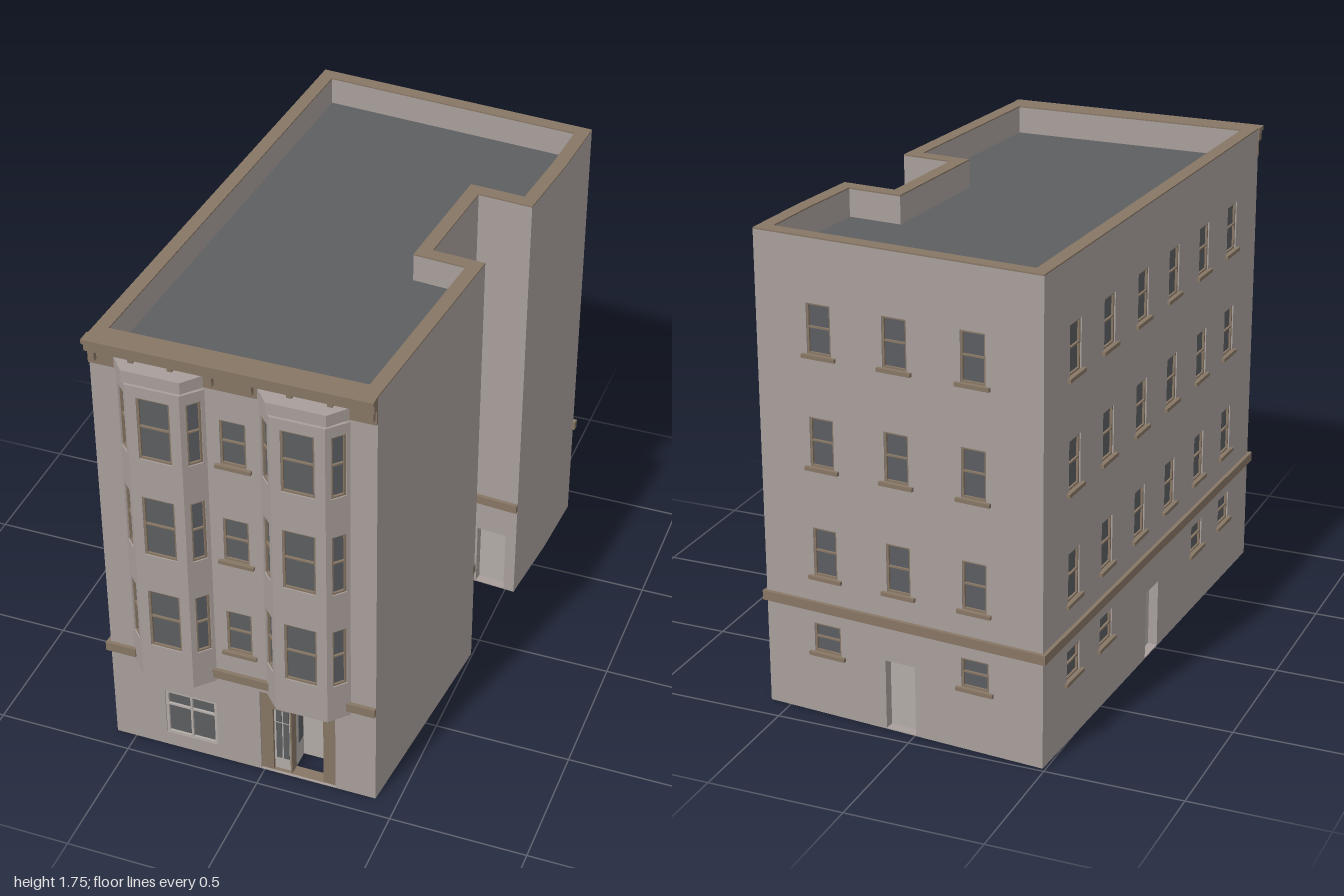
import * as THREE from 'three';

const mat = (name, color) => Object.assign(new THREE.MeshStandardMaterial({ color }), { name });

export function createModel() {
  const stone = mat('stone wall', 0xa89f9b), tan = mat('tan trim', 0x877665);
  const roofGrey = mat('roof grey', 0x5e5f61), glassGrey = mat('glass grey', 0x5b5d60);
  const pale = mat('pale joinery', 0xb3aca7);
  const root = new THREE.Group();
  root.name = 'building';

  // ---- helpers ----
  const add = (parent, name, geo, material) => {
    const m = new THREE.Mesh(geo, material);
    m.name = name;
    parent.add(m);
    return m;
  };
  // box given by its lower and upper limits
  const box = (parent, name, material, x0, x1, y0, y1, z0, z1) =>
    add(parent, name, new THREE.BoxGeometry(x1 - x0, y1 - y0, z1 - z0), material)
      .position.set((x0 + x1) / 2, (y0 + y1) / 2, (z0 + z1) / 2);
  const rect = (C, x0, x1, y0, y1) =>
    new C([[x0, y0], [x1, y0], [x1, y1], [x0, y1]].map(p => new THREE.Vector2(...p)));
  // upright plate with rectangular holes [x0, x1, y0, y1]
  const plate = (x0, x1, y0, y1, z0, z1, holes) => {
    const s = rect(THREE.Shape, x0, x1, y0, y1);
    holes.forEach(h => s.holes.push(rect(THREE.Path, ...h)));
    return new THREE.ExtrudeGeometry(s, { depth: z1 - z0, bevelEnabled: false }).translate(0, 0, z0);
  };
  // level slab over a plan outline, with an optional hole
  const slab = (parent, name, material, pts, y0, y1, hole) => {
    const v = l => l.map(([x, z]) => new THREE.Vector2(x, -z));
    const s = new THREE.Shape(v(pts));
    if (hole) s.holes.push(new THREE.Path(v(hole)));
    const g = new THREE.ExtrudeGeometry(s, { depth: y1 - y0, bevelEnabled: false });
    return add(parent, name, g.rotateX(-Math.PI / 2).translate(0, y0, 0), material);
  };
  const dir = (p, q) => {
    const l = Math.hypot(q[0] - p[0], q[1] - p[1]);
    return [(q[0] - p[0]) / l, (q[1] - p[1]) / l, l];
  };
  // plan outline moved inward by t
  const inset = (pts, t) => pts.map((p, i) => {
    const n = pts.length, a = dir(pts[(i + n - 1) % n], p), b = dir(p, pts[(i + 1) % n]);
    const k = t / (1 + a[0] * b[0] + a[1] * b[1]);
    return [p[0] + k * (a[1] + b[1]), p[1] - k * (a[0] + b[0])];
  });

  // sash window, optionally with a sill
  const sash = (g, o, t) => {
    const x0 = o.x - o.w / 2, x1 = o.x + o.w / 2, y0 = o.y, y1 = o.y + o.h, f = 0.007;
    const ym = o.y + o.h * 0.53;
    add(g, 'windowFrame', plate(x0, x1, y0, y1, -0.014, -0.005,
      [[x0 + f, x1 - f, y0 + f, ym - 0.003], [x0 + f, x1 - f, ym + 0.003, y1 - f]]), tan);
    box(g, 'windowGlass', glassGrey, x0, x1, y0, y1, -0.018, -0.013);
    if (t > 0.03) box(g, 'windowBacking', stone, x0, x1, y0, y1, -t, -0.019);
    if (o.sill) box(g, 'windowSill', tan, x0 - 0.018, x1 + 0.018, y0 - 0.013, y0 + 0.001, -0.01, 0.012);
  };
  // plain door set back in its opening
  const door = (g, o, t) => {
    box(g, 'door', pale, o.x - o.w / 2, o.x + o.w / 2, o.y, o.y + o.h, -t, -0.035);
  };
  // wall panel on edge i of an outline, mitred at both ends, with its openings filled
  const wall = (parent, name, pts, i, t, y0, y1, openings = []) => {
    const p = pts[i], j = (i + 1) % pts.length, [dx, dz, L] = dir(p, pts[j]), inn = inset(pts, t);
    const g = new THREE.Group();
    g.name = name;
    g.position.set(p[0], 0, p[1]);
    g.rotation.y = Math.atan2(-dz, dx);
    parent.add(g);
    const geo = plate(0, L, y0, y1, -t, 0,
      openings.map(o => [o.x - o.w / 2, o.x + o.w / 2, o.y, o.y + o.h]));
    const along = q => (q[0] - p[0]) * dx + (q[1] - p[1]) * dz;
    const a = geo.attributes.position;
    for (let k = 0; k < a.count; k++) {
      if (a.getZ(k) > -t / 2) continue;
      if (a.getX(k) < 1e-4) a.setX(k, along(inn[i]));
      else if (a.getX(k) > L - 1e-4) a.setX(k, along(inn[j]));
    }
    add(g, name + 'Panel', geo, stone);
    openings.forEach(o => o.fill && o.fill(g, o, t));
    return g;
  };
  const belt = (g, x0, x1) => box(g, 'beltCourse', tan, x0, x1, 0.395, 0.43, -0.01, 0.014);

  // ---- plan and openings ----
  const plan = [[-0.575, 0.925], [0.42, 0.925], [0.495, 0.085], [0.305, 0.07], [0.335, -0.33],
    [0.535, -0.315], [0.565, -0.62], [0.58, -0.9], [-0.49, -0.985]];
  const len = i => dir(plan[i], plan[(i + 1) % plan.length])[2];
  const T = 0.05, TOP = 1.74, rows = [0.526, 0.931, 1.335];
  const column = x => rows.map(y => ({ x, y, w: 0.092, h: 0.18, sill: true, fill: sash }));
  const low = x => ({ x, y: 0.235, w: 0.105, h: 0.11, sill: true, fill: sash });
  const doorway = x => ({ x, y: 0.004, w: 0.115, h: 0.26, fill: door });

  // large street window with pale bars
  const shopWindow = (g, o, t) => {
    const x0 = o.x - o.w / 2, x1 = o.x + o.w / 2, y1 = o.y + o.h, f = 0.011;
    const b = [[x0 + f, o.x - 0.004], [o.x + 0.004, x1 - f]];
    add(g, 'streetWindowFrame', plate(x0, x1, o.y, y1, -0.014, -0.004, b.flatMap(
      ([l, r]) => [[l, r, o.y + 0.007, 0.192], [l, r, 0.199, y1 - f]])), pale);
    box(g, 'streetWindowGlass', glassGrey, x0, x1, o.y, y1, -0.018, -0.013);
    box(g, 'streetWindowBacking', stone, x0, x1, o.y, y1, -t, -0.019);
  };
  // entrance: tan surround, sidelight and a deep porch with door and transom
  const entrance = (g, o) => {
    const e = new THREE.Group();
    e.name = 'entrance';
    e.position.x = 0.575;
    g.add(e);
    add(e, 'entranceSurround', plate(-0.012, 0.27, o.y, o.y + o.h, -0.05, -0.008,
      [[0.033, 0.097, 0.006, 0.295], [0.103, 0.222, 0.006, 0.366]]), tan);
    box(e, 'sidelightPanel', pale, 0.033, 0.097, 0.006, 0.295, -0.045, -0.02);
    for (const x of [0.041, 0.068])
      for (const [l, h] of [[0.06, 0.225], [0.232, 0.285]])
        box(e, 'sidelightGlass', glassGrey, x, x + 0.021, l, h, -0.021, -0.017);
    box(e, 'porchSide', pale, 0.095, 0.103, 0.004, 0.37, -0.13, -0.05);
    box(e, 'porchSide', pale, 0.222, 0.23, 0.004, 0.37, -0.13, -0.05);
    box(e, 'porchCeiling', pale, 0.103, 0.222, 0.366, 0.37, -0.13, -0.05);
    box(e, 'porchSideGlass', glassGrey, 0.103, 0.106, 0.1, 0.25, -0.11, -0.07);
    box(e, 'frontDoor', pale, 0.103, 0.222, 0.004, 0.366, -0.135, -0.12);
    box(e, 'transomRail', pale, 0.103, 0.222, 0.295, 0.312, -0.05, -0.03);
    box(e, 'transomGlass', glassGrey, 0.103, 0.222, 0.312, 0.366, -0.045, -0.035);
  };

  // ---- outer walls ----
  const front = wall(root, 'frontWall', plan, 0, T, 0, TOP, [
    ...column(0.4965),
    { x: 0.298, y: 0.06, w: 0.198, h: 0.2, fill: shopWindow },
    { x: 0.704, y: 0.004, w: 0.282, h: 0.366, fill: entrance },
  ]);
  [[-0.014, 0.1], [0.395, 0.605], [0.882, 0.995]].forEach(b => belt(front, ...b));
  wall(root, 'frontRightWall', plan, 1, T, 0, TOP);
  belt(wall(root, 'courtFrontWall', plan, 2, T, 0, TOP, [doorway(len(2) * 0.48)]), 0, len(2));
  belt(wall(root, 'courtWall', plan, 3, T, 0, TOP, [...column(0.2), doorway(0.208)]), 0, len(3));
  belt(wall(root, 'courtRearWall', plan, 4, T, 0, TOP, [doorway(len(4) / 2)]), 0, len(4));
  wall(root, 'rearRightWall', plan, 5, T, 0, TOP);
  wall(root, 'rearRightEndWall', plan, 6, T, 0, TOP);
  const B = len(7), S = len(8);
  belt(wall(root, 'backWall', plan, 7, T, 0, TOP, [
    ...[0.225, 0.492, 0.762].flatMap(k => column(k * B)),
    low(0.225 * B), low(0.762 * B), doorway(0.492 * B),
  ]), -0.01, B + 0.014);
  belt(wall(root, 'leftWall', plan, 8, T, 0, TOP, [
    ...[0.128, 0.273, 0.424, 0.57, 0.72, 0.866].flatMap(k => column(k * S)),
    ...[0.128, 0.273, 0.72, 0.866].map(k => low(k * S)), doorway(0.494 * S),
  ]), -0.014, S + 0.014);

  // ---- roof ----
  const inner = inset(plan, T);
  slab(root, 'roofDeck', roofGrey, inner, 1.62, 1.64);
  slab(root, 'parapetCoping', tan, plan, TOP, 1.745, inner);

  // ---- cornice ----
  box(root, 'corniceTop', tan, -0.58, 0.42, 1.728, 1.745, 0.92, 0.968);
  box(root, 'corniceMoulding', tan, -0.578, 0.42, 1.695, 1.728, 0.92, 0.955);
  box(root, 'corniceFrieze', tan, -0.576, 0.42, 1.637, 1.695, 0.92, 0.934);
  for (let i = 0; i < 8; i++) {
    const x = -0.553 + i * 0.137;
    box(root, 'corniceBracket', tan, x - 0.009, x + 0.009, 1.658, 1.7, 0.93, 0.952);
  }

  // ---- two bay windows ----
  const bayPlan = (cx, d) => [[cx - 0.156 - d, 0.925], [cx - 0.095 - d, 0.99 + d],
    [cx + 0.095 + d, 0.99 + d], [cx + 0.156 + d, 0.925]];
  for (const cx of [-0.327, 0.172]) {
    const bay = new THREE.Group();
    bay.name = 'bayWindow';
    root.add(bay);
    const pts = bayPlan(cx, 0);
    const lights = (x, w) => rows.map(y => ({ x, y: y - 0.002, w, h: 0.247, fill: sash }));
    const side = dir(pts[0], pts[1])[2];
    wall(bay, 'bayLeftSide', pts, 0, 0.02, 0.372, 1.622, lights(side * 0.45, 0.054));
    wall(bay, 'bayFront', pts, 1, 0.02, 0.372, 1.622, lights(0.095, 0.117));
    wall(bay, 'bayRightSide', pts, 2, 0.02, 0.372, 1.622, lights(side * 0.55, 0.054));
    const core = inset(pts, 0.01);
    slab(bay, 'bayFloor', stone, core, 0.372, 0.38);
    slab(bay, 'bayTop', stone, core, 1.614, 1.622);
    slab(bay, 'bayCap', stone, bayPlan(cx, 0.008), 1.637, 1.682);
  }
  return root;
}
